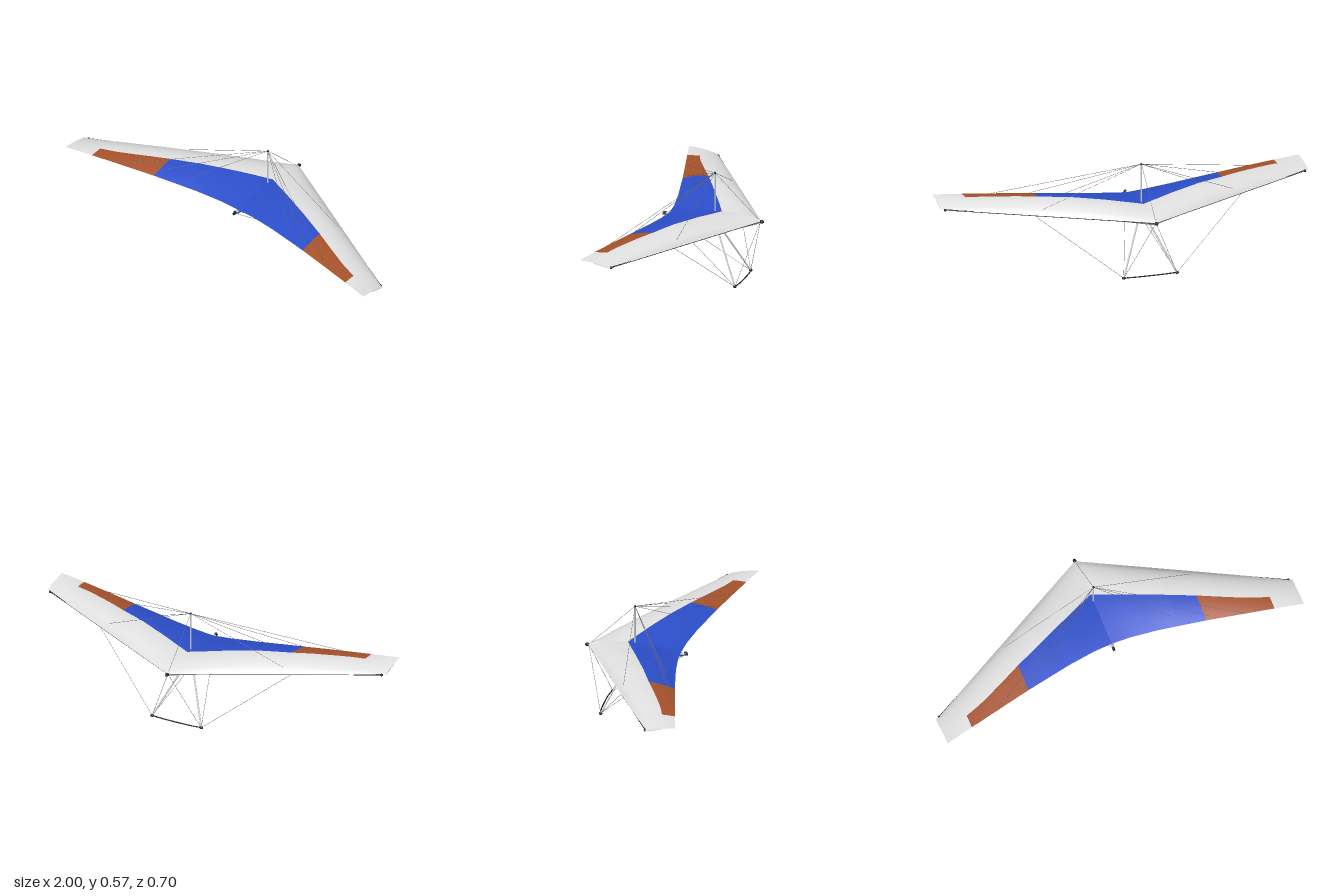
import * as THREE from 'three';

const V = (x, y, z) => new THREE.Vector3(x, y, z);

// Piecewise-linear lookup through [x, value] points
function ramp(points, x) {
  for (let i = 1; i < points.length; i++) {
    const [x0, a] = points[i - 1], [x1, b] = points[i];
    if (x <= x1) return a + (b - a) * (x - x0) / (x1 - x0);
  }
  return points[points.length - 1][1];
}

// Wing shape: u runs from centre (0) to tip (1), f from leading (0) to trailing edge (1)
const leadZ = u => -0.335 + 0.53 * u;
const trailZ = u => 0.16 + ramp([[0, 0], [0.1, 0.006], [0.25, 0.028], [0.5, 0.078], [1, 0.19]], u);
const leadY = u => 0.33 + 0.005 * u;
const trailY = u => 0.333 + 0.033 * (1 - (1 - u) ** 1.8);
const camber = u => ramp([[0, 0.033], [0.18, 0.044], [0.35, 0.048], [0.6, 0.037], [0.85, 0.018], [1, 0.006]], u);
const zAt = (u, f) => leadZ(u) + (trailZ(u) - leadZ(u)) * f;
function sailY(u, f) {
  const t = f ** 0.75;
  return leadY(u) + (trailY(u) - leadY(u)) * f + camber(u) * 4 * t * (1 - t);
}
const UNDER = 0.55;
function underY(u, f) {
  const g = f / UNDER, dip = 0.003 * (1 - u) + 0.032 * Math.max(0, 1 - u / 0.35);
  const y = leadY(u) + (sailY(u, UNDER) - 0.002 - leadY(u)) * g ** (2.5 - 1.3 * u);
  return y - dip * Math.sin(Math.PI * Math.min(1, g ** 0.7));
}
// Chord fraction where the coloured rear panels begin
const seam = u => ramp([[0, 0.43], [0.5, 0.55], [0.77, 0.66], [1, 0.66]], u);

export function createModel() {
  const root = new THREE.Group();
  const mat = (name, color) => {
    const m = new THREE.MeshStandardMaterial({ color, side: THREE.DoubleSide });
    m.name = name;
    return m;
  };
  const white = mat('pale grey cloth', 0xe2e2e2);
  const blue = mat('blue cloth', 0x2c4ecb);
  const rust = mat('rust cloth', 0xa6522b);
  const silver = mat('aluminium', 0xc6c8ca);
  const black = mat('black fittings', 0x1e2024);
  const wireGrey = mat('wire grey', 0x6a6c70);

  function add(name, geo, material) {
    const m = new THREE.Mesh(geo, material);
    m.name = name;
    root.add(m);
    return m;
  }

  // Smooth surface from a grid of points
  function surface(name, nu, nf, flip, pointAt, material) {
    const pos = [], idx = [];
    for (let i = 0; i <= nu; i++)
      for (let j = 0; j <= nf; j++) pos.push(...pointAt(i / nu, j / nf));
    for (let i = 0; i < nu; i++) for (let j = 0; j < nf; j++) {
      const a = i * (nf + 1) + j, b = a + nf + 1;
      if (flip) idx.push(a, b, a + 1, b, b + 1, a + 1);
      else idx.push(a, a + 1, b, b, a + 1, b + 1);
    }
    const g = new THREE.BufferGeometry();
    g.setAttribute('position', new THREE.Float32BufferAttribute(pos, 3));
    g.setIndex(idx);
    g.computeVertexNormals();
    add(name, g, material);
  }

  // Cloth patch on one side of the wing
  function patch(name, s, u0, u1, fa, fb, heightAt, material) {
    surface(name, Math.max(4, Math.round((u1 - u0) * 40)), 12, s < 0, (a, b) => {
      const u = u0 + (u1 - u0) * a, f = fa(u) + (fb(u) - fa(u)) * b;
      return [s * u, heightAt(u, f), zAt(u, f)];
    }, material);
  }

  // Round rod between two points
  function rod(name, a, b, r, material, sides = 10) {
    const d = b.clone().sub(a);
    const m = add(name, new THREE.CylinderGeometry(r, r, d.length(), sides), material);
    m.position.copy(a).add(b).multiplyScalar(0.5);
    m.quaternion.setFromUnitVectors(V(0, 1, 0), d.normalize());
    return m;
  }
  const wire = (name, a, b) => rod(name, a, b, 0.001, wireGrey, 5);
  function ball(name, p, r, material, sx = 1, sy = 1, sz = 1) {
    const m = add(name, new THREE.SphereGeometry(r, 14, 10), material);
    m.position.copy(p);
    m.scale.set(sx, sy, sz);
  }

  const zero = () => 0, one = () => 1, wrap = () => 0.2, rear = () => UNDER;
  const mastTop = V(0, 0.57, -0.085);
  const nose = V(0, 0.328, -0.33);
  const keelEnd = V(0, 0.325, 0.185);

  for (const s of [1, -1]) {
    // Upper sail
    patch('leadingSail', s, 0, 0.85, zero, seam, sailY, white);
    patch('centreSail', s, 0, 0.5, seam, one, sailY, blue);
    patch('outerSail', s, 0.5, 0.85, seam, one, sailY, rust);
    patch('tipSail', s, 0.85, 1, zero, one, sailY, white);
    // Lower skin covering the front of the wing
    patch('lowerLeadingWrap', s, 0, 0.5, zero, wrap, underY, white);
    patch('lowerCentreSkin', s, 0, 0.5, wrap, rear, underY, blue);
    patch('lowerOuterSkin', s, 0.5, 0.86, zero, rear, underY, white);
    patch('lowerTipSkin', s, 0.86, 1, zero, rear, underY, rust);
    // Cloth closing the wing tip
    surface('tipRib', 12, 1, s > 0, (a, b) => {
      const f = a * UNDER;
      return [s, b ? sailY(1, f) : underY(1, f), zAt(1, f)];
    }, white);

    // Leading edge spar tucked into the sail, with end cap
    rod('leadingEdgeSpar', V(0, 0.328, -0.329), V(s * 0.985, 0.334, 0.191), 0.0034, black);
    ball('sparCap', V(s * 0.98, 0.333, 0.187), 0.007, black);

    // Control frame
    const corner = V(s * 0.145, 0.009, -0.235);
    const tube = rod('downTube', V(s * 0.006, 0.312, -0.085), corner, 0.005, silver);
    tube.scale.x = 0.8;
    ball('frameCorner', corner, 0.009, black, 1.2, 0.8, 1);

    // Rigging
    wire('upperSideWire', mastTop, V(s * 0.52, sailY(0.52, 0.1), -0.03));
    const side = V(s * 0.57, 0.334, -0.028);
    wire('lowerSideWire', corner, side);
    wire('lowerNoseWire', corner, nose);
    wire('lowerTailWire', corner, keelEnd);
    for (const [u, f] of [[0.7, 0.99], [0.52, 0.93], [0.34, 0.85]])
      wire('trailingEdgeWire', mastTop, V(s * u, sailY(u, f), zAt(u, f)));
  }

  // Keel tube, nose and tail caps
  rod('keelTube', V(0, 0.324, -0.33), V(0, 0.324, 0.18), 0.0065, silver, 14);
  rod('keelPlug', V(0, 0.324, 0.178), V(0, 0.324, 0.196), 0.0068, black, 14);
  ball('noseCap', V(0, 0.327, -0.337), 0.0095, black, 1, 1, 1.4);
  ball('tailFitting', V(0, 0.333, 0.185), 0.006, black, 1, 0.8, 1.6);

  // Cloth pocket hanging along the rear of the keel
  const pocket = new THREE.Shape();
  pocket.moveTo(0.18, 0.318);
  pocket.quadraticCurveTo(0.145, 0.291, 0, 0.319);
  pocket.lineTo(0, 0.333);
  pocket.lineTo(0.16, 0.332);
  const pocketGeo = new THREE.ExtrudeGeometry(pocket, { depth: 0.006, bevelEnabled: false });
  pocketGeo.rotateY(-Math.PI / 2);
  add('keelPocket', pocketGeo, blue).position.x = 0.003;

  // King post
  rod('kingPost', V(0, 0.325, -0.085), mastTop, 0.0042, silver, 12);
  ball('kingPostCap', mastTop, 0.006, black);
  wire('upperNoseWire', mastTop, V(0, 0.333, -0.325));

  // Hang strap and bolt joining the control frame to the keel
  add('hangStrap', new THREE.BoxGeometry(0.016, 0.034, 0.008), rust).position.set(0, 0.313, -0.082);
  ball('frameBolt', V(0, 0.306, -0.087), 0.006, black, 1.8, 1, 1);

  // Curved base bar
  const bar = new THREE.CatmullRomCurve3([
    V(-0.145, 0.01, -0.235), V(-0.09, 0.011, -0.243), V(0, 0.011, -0.245),
    V(0.09, 0.011, -0.243), V(0.145, 0.01, -0.235)]);
  add('baseBar', new THREE.TubeGeometry(bar, 28, 0.0032, 10), black);

  return root;
}
